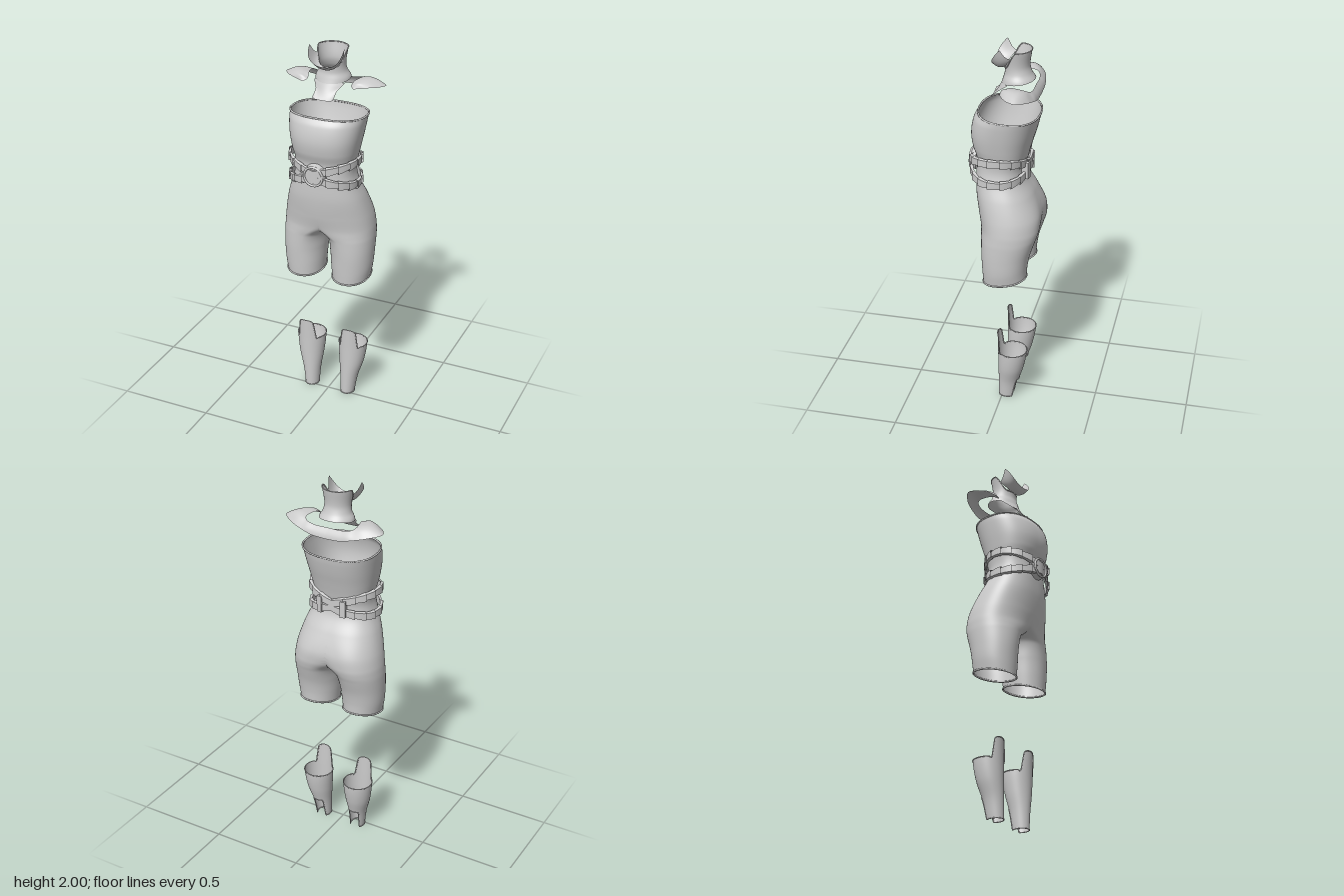
import * as THREE from 'three';
import { mergeGeometries, mergeVertices, toCreasedNormals } from 'three/addons/utils/BufferGeometryUtils.js';

const material = new THREE.MeshStandardMaterial({ color: 0xcccccc, side: THREE.DoubleSide });
const { sin, cos, abs, sign, PI } = Math;
const mix = THREE.MathUtils.lerp, smooth = THREE.MathUtils.smoothstep;
const spow = (v, p) => sign(v) * abs(v) ** p;

// Smoothly interpolate the rows of a table whose first column is ascending.
function sample(table, y) {
  const last = table.length - 1;
  let i = 0;
  while (i < last - 1 && y > table[i + 1][0]) i++;
  const at = k => table[THREE.MathUtils.clamp(k, 0, last)];
  const [a, b, c, d] = [at(i - 1), at(i), at(i + 1), at(i + 2)];
  const h = c[0] - b[0], t = THREE.MathUtils.clamp((y - b[0]) / h, 0, 1);
  return b.slice(1).map((p, k) => {
    const q = c[k + 1];
    const m0 = (q - a[k + 1]) / (c[0] - a[0]) * h, m1 = (d[k + 1] - p) / (d[0] - b[0]) * h;
    return (2 * t ** 3 - 3 * t * t + 1) * p + (t ** 3 - 2 * t * t + t) * m0
      + (3 * t * t - 2 * t ** 3) * q + (t ** 3 - t * t) * m1;
  });
}

// Surface from f(u, v) -> [x, y, z]; triangles lying wholly on x = 0 can be dropped.
function grid(nu, nv, f, dropMiddle = false) {
  const pos = [], idx = [];
  for (let j = 0; j <= nv; j++) for (let i = 0; i <= nu; i++) pos.push(...f(i / nu, j / nv));
  const tri = (...t) => { if (!dropMiddle || t.some(k => abs(pos[3 * k]) > 1e-6)) idx.push(...t); };
  for (let j = 0; j < nv; j++) for (let i = 0; i < nu; i++) {
    const a = j * (nu + 1) + i, d = a + nu + 1;
    tri(a, a + 1, d + 1);
    tri(a, d + 1, d);
  }
  const g = new THREE.BufferGeometry();
  g.setAttribute('position', new THREE.Float32BufferAttribute(pos, 3));
  g.setIndex(idx);
  return g;
}
function mirrored(g) {
  const m = g.clone().scale(-1, 1, 1);
  m.setIndex([...g.index.array].reverse());
  return m;
}
function smoothed(...parts) {
  const g = mergeVertices(mergeGeometries(parts), 1e-5);
  g.computeVertexNormals();
  return g;
}
function hem(points, r = 0.005) {
  const curve = new THREE.CatmullRomCurve3(points.map(p => new THREE.Vector3(...p)), true);
  return new THREE.TubeGeometry(curve, 120, r, 6, true);
}
const ringPoints = (f, v, n = 64) => Array.from({ length: n }, (_, i) => f(i / n, v));

// y, half width, front z, back z, leg centre at front, leg centre at back, inner x
const BODY = [
  [0.75, 0.228, 0.095, -0.13, 0.128, 0.128, 0.03], [0.82, 0.24, 0.1, -0.135, 0.128, 0.128, 0.024],
  [0.9, 0.245, 0.105, -0.148, 0.125, 0.125, 0.018], [0.98, 0.247, 0.11, -0.172, 0.1, 0.118, 0.006],
  [1.01, 0.246, 0.115, -0.182, 0.07, 0.112, -0.02], [1.05, 0.243, 0.122, -0.19, 0.03, 0.1, -0.12],
  [1.12, 0.231, 0.137, -0.188, 0, 0.07, -0.35], [1.22, 0.203, 0.15, -0.15, 0, 0.02, -0.7],
  [1.3, 0.172, 0.152, -0.108, 0, 0, -0.8], [1.36, 0.157, 0.15, -0.1, 0, 0, -0.8],
  [1.42, 0.16, 0.15, -0.112, 0, 0, -0.8], [1.48, 0.172, 0.168, -0.128, 0, 0, -0.8],
  [1.55, 0.185, 0.175, -0.148, 0, 0, -0.8], [1.62, 0.195, 0.16, -0.164, 0, 0, -0.8],
  [1.655, 0.198, 0.137, -0.17, 0, 0, -0.8]];
function bodyPoint(u, v) {
  const a = u * 2 * PI, y = mix(0.757, 1.655, v), c = cos(a), s = sin(a);
  const [w, zf, zb, cf, cb, inner] = sample(BODY, y);
  const p = 2 / mix(2.1, 2.4, smooth(y, 1, 1.4));
  const cx = Math.max(0, mix(cf, cb, (1 - c) / 2));
  let x = s >= -1e-9 ? cx + (w - cx) * abs(s) ** p : Math.max(0, cx - (cx - inner) * abs(s) ** p);
  if (x < 1e-5) x = 0;
  const tilt = 0.01 * smooth(y, 1.5, 1.655) - 0.02 * (1 - smooth(y, 0.757, 0.95));
  return [x, y + tilt * c, (zf + zb) / 2 + (zf - zb) / 2 * spow(c, p)];
}

// y, centre x, half width, front z, back z
const SHIN = [[0, 0.107, 0.037, 0.02, -0.07], [0.1, 0.112, 0.048, 0.02, -0.088],
  [0.2, 0.12, 0.068, 0.02, -0.118], [0.3, 0.123, 0.078, 0.02, -0.135], [0.42, 0.126, 0.076, 0.022, -0.135]];
function shinPoint(u, v) {
  const a = u * 2 * PI, d = Math.min(a, 2 * PI - a);
  const low = 0.003 + 0.117 * smooth(d, 2.3, 2.6);
  const high = 0.305 + 0.11 * (1 - smooth(d, 0.5, 0.78)) - 0.02 * Math.min(1, d / 0.6) ** 3 * (1 - smooth(d, 0.6, 0.9));
  const y = mix(low, high, v), [cx, r, zf, zb] = sample(SHIN, y);
  return [cx + r * sin(a), y, (zf + zb) / 2 + (zf - zb) / 2 * cos(a)];
}

// y, half width, front z, back z
const NECK = [[1.8, 0.092, 0.028, -0.155], [1.83, 0.089, 0.018, -0.145], [1.86, 0.073, 0.01, -0.126],
  [1.9, 0.068, 0.012, -0.115], [1.98, 0.08, 0.025, -0.125]];
function neckPoint(u, v) {
  const a = u * 2 * PI, c = cos(a);
  const y = mix(1.82 - 0.012 * c, 1.98 - 0.09 * smooth(c, -0.2, 0.85), v);
  const [r, zf, zb] = sample(NECK, y);
  return [r * sin(a), y, (zf + zb) / 2 + (zf - zb) / 2 * c];
}

// Collar from mid back to front tip: inner edge xyz, outer edge xyz
const COLLAR = [
  [0, 0, 1.8, -0.145, 0, 1.75, -0.172], [1, 0.07, 1.8, -0.146, 0.08, 1.755, -0.172],
  [2, 0.12, 1.808, -0.14, 0.14, 1.77, -0.168], [3, 0.14, 1.82, -0.12, 0.21, 1.787, -0.148],
  [4, 0.136, 1.825, -0.08, 0.27, 1.8, -0.1], [5, 0.125, 1.822, -0.04, 0.25, 1.802, -0.05],
  [6, 0.119, 1.805, -0.01, 0.2, 1.803, -0.012], [7, 0.135, 1.795, 0.006, 0.14, 1.795, 0.008]];
function collarPoint(u, v) {
  const e = sample(COLLAR, u * 7), bulge = sin(v * PI);
  const puff = 0.018 * smooth(u, 0.3, 0.55) * (1 - smooth(u, 0.85, 1));
  return [mix(e[0], e[3], v), mix(e[1], e[4], v) + puff * bulge, mix(e[2], e[5], v) - 0.005 * bulge * (1 - smooth(u, 0.2, 0.4))];
}

// One half belt made of overlapping plates
function beltHalf(y0, rise, height) {
  const plates = [], n = 9;
  const section = [[0, -1], [1, -0.8], [1, 0.8], [0, 1], [0, -1]];
  for (let k = 0; k < n; k++) plates.push(grid(5, 4, (u, v) => {
    const a = (k + u * 1.12) / n * PI, [o, h] = section[Math.round(v * 4)];
    const out = o * mix(0.017, 0.008, u), half = height / 2 * mix(1, 0.78, u);
    return [(0.178 + out) * sin(a), y0 + rise * sin(a) + h * half, 0.028 + (0.143 + out) * spow(cos(a), 0.9)];
  }));
  return mergeGeometries(plates);
}

export function createModel() {
  const model = new THREE.Group();
  const add = (name, geometry, x = 0, y = 0, z = 0) => {
    const mesh = new THREE.Mesh(geometry, material);
    mesh.name = name;
    mesh.position.set(x, y, z);
    model.add(mesh);
    return mesh;
  };

  // Bodysuit with hems
  const half = grid(96, 130, bodyPoint, true);
  add('bodysuit', smoothed(half, mirrored(half)));
  const arc = Array.from({ length: 33 }, (_, i) => bodyPoint(i / 64, 1));
  add('topHem', hem([...arc, ...arc.slice(1, -1).reverse().map(([x, y, z]) => [-x, y, z])]));

  // Neck cover, chin guard and bib
  add('neckCover', smoothed(grid(64, 20, neckPoint)));
  add('neckTopRim', hem(ringPoints(neckPoint, 1), 0.003));
  add('chinGuard', smoothed(grid(32, 8, (u, v) => {
    const t = 2 * u - 1, q = t * 1.35;
    const a = [0.07 * sin(q), 1.885 + 0.06 * t * t, -0.045 + 0.06 * cos(q)];
    const b = [0.093 * sin(t * PI / 2), 1.907 + 0.091 * abs(t) ** 2.2, 0.067 - 0.05 * t ** 4];
    return a.map((p, k) => mix(p, b[k], v) - (k === 1 ? 0.012 * sin(v * PI) : 0));
  })));
  add('bib', smoothed(grid(16, 8, (u, v) => {
    const t = 2 * u - 1, w = mix(0.056, 0.082, smooth(v, 0.4, 1));
    const low = 1.735 + 0.01 * t ** 6;
    return [w * t, mix(low, 1.812, v), mix(0.07, 0.022, v ** 0.8) - 0.04 * t * t * v];
  })));

  // Shoulder collar
  const collar = grid(64, 10, collarPoint);
  add('shoulderCollar', smoothed(collar, mirrored(collar)));

  // Crossing belts, round buckle and rear loops
  const belt = (name, y, rise) => {
    const side = beltHalf(y, rise, 0.05);
    add(name, toCreasedNormals(mergeGeometries([side, mirrored(side)]), 0.5));
  };
  belt('upperBelt', 1.382, 0.048);
  belt('lowerBelt', 1.355, -0.043);
  add('buckle', new THREE.CylinderGeometry(0.052, 0.06, 0.03, 40).rotateX(PI / 2), 0, 1.37, 0.167);
  add('buckleRim', new THREE.TorusGeometry(0.05, 0.006, 8, 40), 0, 1.37, 0.183);

  for (const s of [1, -1]) {
    const side = s > 0 ? 'left' : 'right';
    add(side + 'BeltLoop', new THREE.BoxGeometry(0.028, 0.088, 0.035), s * 0.065, 1.362, -0.112).rotation.y = -s * 0.2 + PI;
    add(side + 'LegHem', hem(ringPoints(bodyPoint, 0).map(([x, y, z]) => [s * x, y, z])));
    // Shin guard, with knee tab in front and heel cut-out behind
    const shin = grid(128, 24, shinPoint);
    add(side + 'ShinGuard', smoothed(s > 0 ? shin : mirrored(shin)));
    for (const v of [0, 1])
      add(side + (v ? 'ShinTopRim' : 'ShinBottomRim'),
        hem(ringPoints(shinPoint, v, 96).map(([x, y, z]) => [s * x, y, z]), 0.003));
  }
  return model;
}
